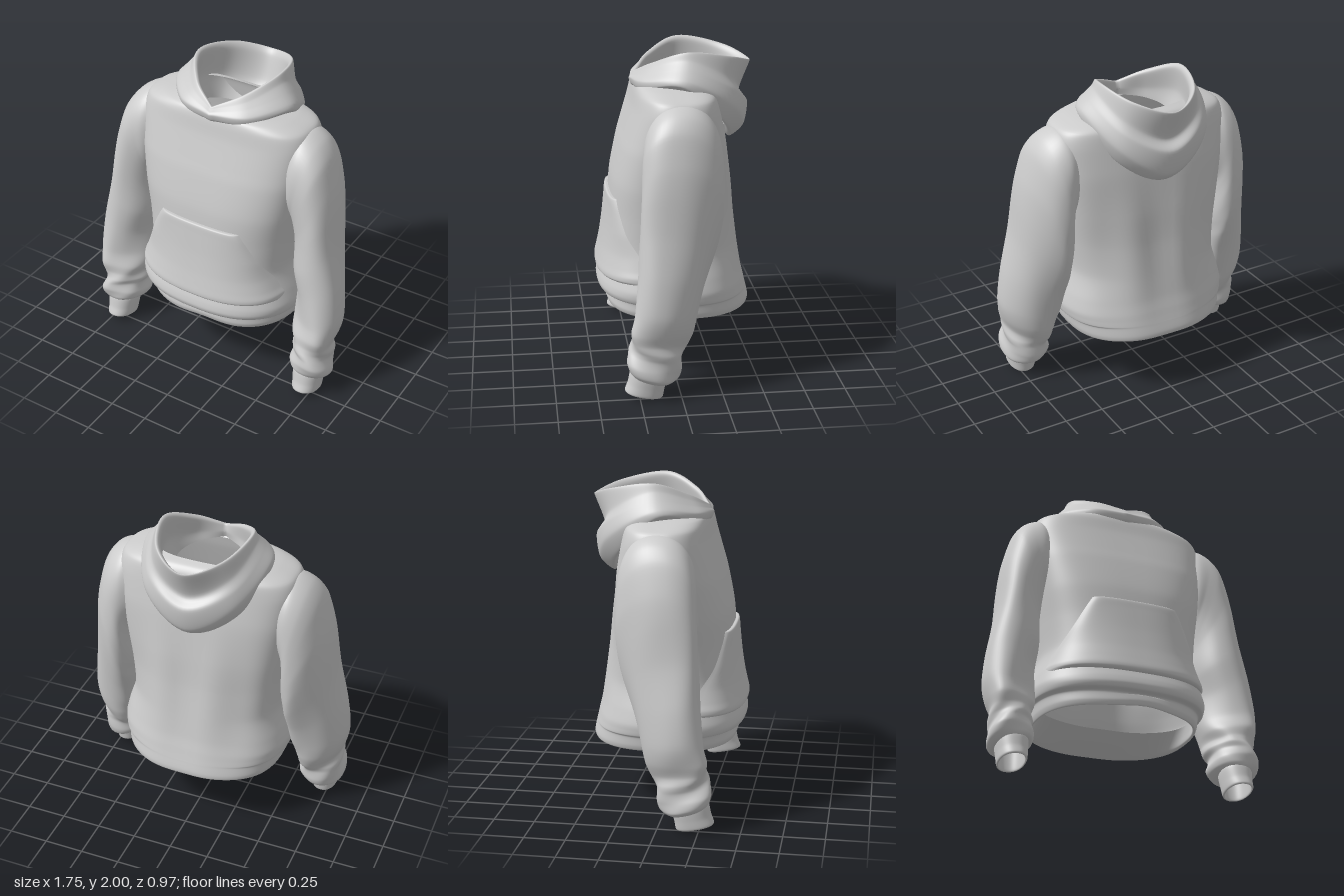
import * as THREE from 'three';

const V = (x, y, z) => new THREE.Vector3(x, y, z);
const material = new THREE.MeshStandardMaterial({ color: 0xcccccc, side: THREE.DoubleSide });

// Smooth skin through a stack of rings that share a point count
function loft(name, rings, rows, closed = true, wrinkle = null) {
  const cols = rings[0].length, pos = [], idx = [];
  const columns = rings[0].map((_, j) =>
    new THREE.CatmullRomCurve3(rings.map(r => r[j]), false, 'catmullrom', 0.4));
  for (let i = 0; i <= rows; i++) {
    for (let j = 0; j < cols; j++) {
      const p = columns[j].getPoint(i / rows);
      if (wrinkle) wrinkle(p, j / cols * Math.PI * 2, i / rows);
      pos.push(p.x, p.y, p.z);
    }
  }
  const span = closed ? cols : cols - 1;
  for (let i = 0; i < rows; i++) {
    for (let j = 0; j < span; j++) {
      const a = i * cols + j, b = i * cols + (j + 1) % cols;
      idx.push(a, a + cols, b, b, a + cols, b + cols);
    }
  }
  const geo = new THREE.BufferGeometry();
  geo.setAttribute('position', new THREE.Float32BufferAttribute(pos, 3));
  geo.setIndex(idx);
  geo.computeVertexNormals();
  const mesh = new THREE.Mesh(geo, material);
  mesh.name = name;
  return mesh;
}

const power = (v, n) => Math.sign(v) * Math.pow(Math.abs(v), 2 / n);
const bump = (v, c, w) => Math.exp(-(((v - c) / w) ** 2));

// Torso sections: height, half width, front z, back z
const TORSO = [
  [1.80, 0.34, 0.17, -0.20], [1.78, 0.44, 0.20, -0.25], [1.74, 0.54, 0.215, -0.28],
  [1.65, 0.57, 0.235, -0.30], [1.50, 0.56, 0.28, -0.33], [1.40, 0.55, 0.31, -0.345],
  [1.20, 0.525, 0.355, -0.37], [1.00, 0.50, 0.375, -0.39], [0.80, 0.487, 0.40, -0.42],
  [0.65, 0.53, 0.42, -0.445], [0.57, 0.55, 0.445, -0.465], [0.53, 0.548, 0.452, -0.475],
  [0.50, 0.54, 0.44, -0.483], [0.485, 0.52, 0.402, -0.487], [0.43, 0.512, 0.405, -0.50],
  [0.40, 0.50, 0.395, -0.495], [0.41, 0.485, 0.375, -0.45], [0.45, 0.48, 0.37, -0.35],
  [0.50, 0.475, 0.37, -0.24],
];
// squarer across the chest, rounder at the hem
const squareness = y => 2.5 + 0.6 * bump(y, 1.5, 0.4);

function torsoFrontZ(x, y) {
  let i = 0;
  while (TORSO[i + 1][0] > y) i++;
  const a = TORSO[i], b = TORSO[i + 1], t = (a[0] - y) / (a[0] - b[0]);
  const [, w, f, k] = a.map((v, n) => v + (b[n] - v) * t);
  const n = squareness(y), s = Math.max(0, 1 - Math.pow(Math.abs(x) / w, n));
  return (f + k) / 2 + (f - k) / 2 * Math.pow(s, 1 / n);
}

// Body shell, with the hem band turned in under the back
function torso() {
  const rings = TORSO.map(([y, w, f, b]) => Array.from({ length: 96 }, (_, j) => {
    const a = j / 96 * Math.PI * 2, n = squareness(y);
    return V(w * power(Math.cos(a), n), y, (f + b) / 2 + (f - b) / 2 * power(Math.sin(a), n));
  }));
  return loft('torso', rings, 120, true, p => {
    // soft hanging folds down the back, lifted hem at the front
    if (p.z < -0.1) p.z += 0.01 * Math.sin(p.x * 19 + 0.8) * bump(p.y, 0.95, 0.4);
    if (p.y < 0.47 && p.z > 0) p.y += 0.02 * bump(p.x, 0.05, 0.15);
  });
}

// Front pouch that follows the torso surface, rolled under at the bottom
function pouch() {
  const rows = [
    [1.105, 0.27, 0.0], [1.10, 0.275, 0.022], [1.04, 0.31, 0.024], [0.90, 0.385, 0.024],
    [0.78, 0.45, 0.028], [0.70, 0.485, 0.034], [0.65, 0.505, 0.038], [0.625, 0.50, 0.03],
    [0.612, 0.485, 0.012], [0.615, 0.475, -0.01],
  ];
  const rings = rows.map(([y, w, off]) => Array.from({ length: 61 }, (_, j) => {
    const u = j / 30 - 1, x = u * w;
    const lift = off * (1 - 0.9 * Math.pow(Math.abs(u), 14));
    return V(x * (1 + lift * 0.4), y + 0.012 * u * u * (y < 0.7), torsoFrontZ(x, y) + lift);
  }));
  return loft('pouchPocket', rings, 50, false);
}

// Sleeve sections: outer x, y, inner x, y, front z, back z, forward skew of the outer side
const SLEEVE = [
  [0.44, 1.72, 0.40, 1.30, 0.13, -0.20, 0], [0.54, 1.737, 0.49, 1.17, 0.195, -0.255, 0],
  [0.63, 1.69, 0.50, 1.10, 0.205, -0.27, 0.02], [0.695, 1.60, 0.50, 1.02, 0.21, -0.27, 0.04],
  [0.745, 1.42, 0.50, 0.95, 0.215, -0.262, 0.05], [0.775, 1.24, 0.50, 0.87, 0.225, -0.24, 0.06],
  [0.805, 1.02, 0.505, 0.78, 0.235, -0.205, 0.06], [0.845, 0.78, 0.53, 0.65, 0.24, -0.15, 0.06],
  [0.87, 0.55, 0.54, 0.50, 0.26, -0.10, 0.06], [0.86, 0.43, 0.55, 0.41, 0.295, -0.07, 0.05],
  [0.835, 0.355, 0.57, 0.355, 0.295, -0.045, 0.04], [0.83, 0.31, 0.575, 0.31, 0.30, -0.03, 0.03],
  [0.835, 0.27, 0.585, 0.27, 0.305, -0.01, 0.03], [0.85, 0.21, 0.565, 0.21, 0.325, 0.0, 0.02],
  [0.845, 0.15, 0.585, 0.17, 0.32, 0.02, 0.01], [0.81, 0.12, 0.62, 0.15, 0.30, 0.07, 0],
  [0.78, 0.16, 0.645, 0.17, 0.27, 0.12, 0],
];
// Ribbed cuff sections, same layout
const CUFF = [
  [0.795, 0.20, 0.625, 0.20, 0.28, 0.08, 0], [0.808, 0.15, 0.615, 0.15, 0.305, 0.085, 0],
  [0.802, 0.08, 0.622, 0.08, 0.32, 0.10, 0], [0.797, 0.03, 0.63, 0.032, 0.338, 0.11, 0],
  [0.785, 0.03, 0.642, 0.032, 0.325, 0.123, 0], [0.785, 0.14, 0.64, 0.14, 0.28, 0.105, 0],
];

function arm(side) {
  const group = new THREE.Group();
  group.name = side > 0 ? 'leftSleeve' : 'rightSleeve';
  const rings = (table, tilt) => table.map(([xo, yo, xi, yi, f, b, skew], i) =>
    Array.from({ length: 56 }, (_, j) => {
      const a = j / 56 * Math.PI * 2, c = power(Math.cos(a), 2.2), s = power(Math.sin(a), 2.2);
      const dz = (f - b) / 2 * s;
      return V(side * ((xo + xi) / 2 + (xo - xi) / 2 * c),
        (yo + yi) / 2 + (yo - yi) / 2 * c + dz * tilt(i), (f + b) / 2 + dz + skew * c);
    }));
  // diagonal drag folds, stronger towards the gathered wrist
  const folds = (p, a, t) => {
    const k = 0.007 * bump(t, 0.45, 0.2) + 0.01 * bump(t, 0.75, 0.16);
    p.z += k * Math.sin(a * 3 + t * 22) * Math.sin(a);
    p.x += side * k * Math.sin(a * 2 + t * 30) * Math.cos(a);
  };
  group.add(loft('sleeve', rings(SLEEVE, i => Math.max(0, (i - 7) / 9) * 0.3), 96, true, folds));
  group.add(loft('cuff', rings(CUFF, () => 0.2), 30));
  return group;
}

// Lowered hood: each row is half a loop from front centre round to back centre
const HOOD = [
  [0, 1.74, 0.20, 0.20, 1.755, 0.16, 0.36, 1.78, -0.05, 0.26, 1.60, -0.29, 0, 1.46, -0.34],
  [0, 1.765, 0.225, 0.23, 1.78, 0.17, 0.40, 1.81, -0.06, 0.28, 1.57, -0.32, 0, 1.42, -0.385],
  [0, 1.80, 0.235, 0.235, 1.82, 0.17, 0.395, 1.845, -0.08, 0.29, 1.66, -0.38, 0, 1.49, -0.47],
  [0, 1.815, 0.225, 0.21, 1.86, 0.14, 0.35, 1.90, -0.09, 0.27, 1.76, -0.38, 0, 1.64, -0.495],
  [0, 1.83, 0.215, 0.19, 1.89, 0.12, 0.31, 1.95, -0.10, 0.24, 1.83, -0.36, 0, 1.71, -0.44],
  [0, 1.842, 0.205, 0.17, 1.925, 0.10, 0.285, 2.0, -0.10, 0.21, 1.95, -0.38, 0, 1.89, -0.51],
  [0, 1.835, 0.19, 0.15, 1.90, 0.09, 0.26, 1.97, -0.10, 0.19, 1.92, -0.35, 0, 1.865, -0.475],
  [0, 1.80, 0.18, 0.16, 1.80, 0.10, 0.27, 1.82, -0.08, 0.20, 1.75, -0.31, 0, 1.70, -0.41],
  [0, 1.76, 0.19, 0.15, 1.74, 0.10, 0.23, 1.70, -0.03, 0.19, 1.63, -0.22, 0, 1.59, -0.30],
];

function hood() {
  const rings = HOOD.map(h => {
    const half = [0, 3, 6, 9, 12].map(k => V(h[k], h[k + 1], h[k + 2]));
    const loop = [...half, ...half.slice(0, -1).reverse().map(p => V(-p.x, p.y, p.z))];
    return new THREE.CatmullRomCurve3(loop, false, 'catmullrom', 0.5).getPoints(80).slice(0, -1);
  });
  return loft('hood', rings, 64);
}

export function createModel() {
  const model = new THREE.Group();
  model.name = 'hoodedSweatshirt';
  model.add(torso(), pouch(), hood(), arm(1), arm(-1));
  return model;
}
